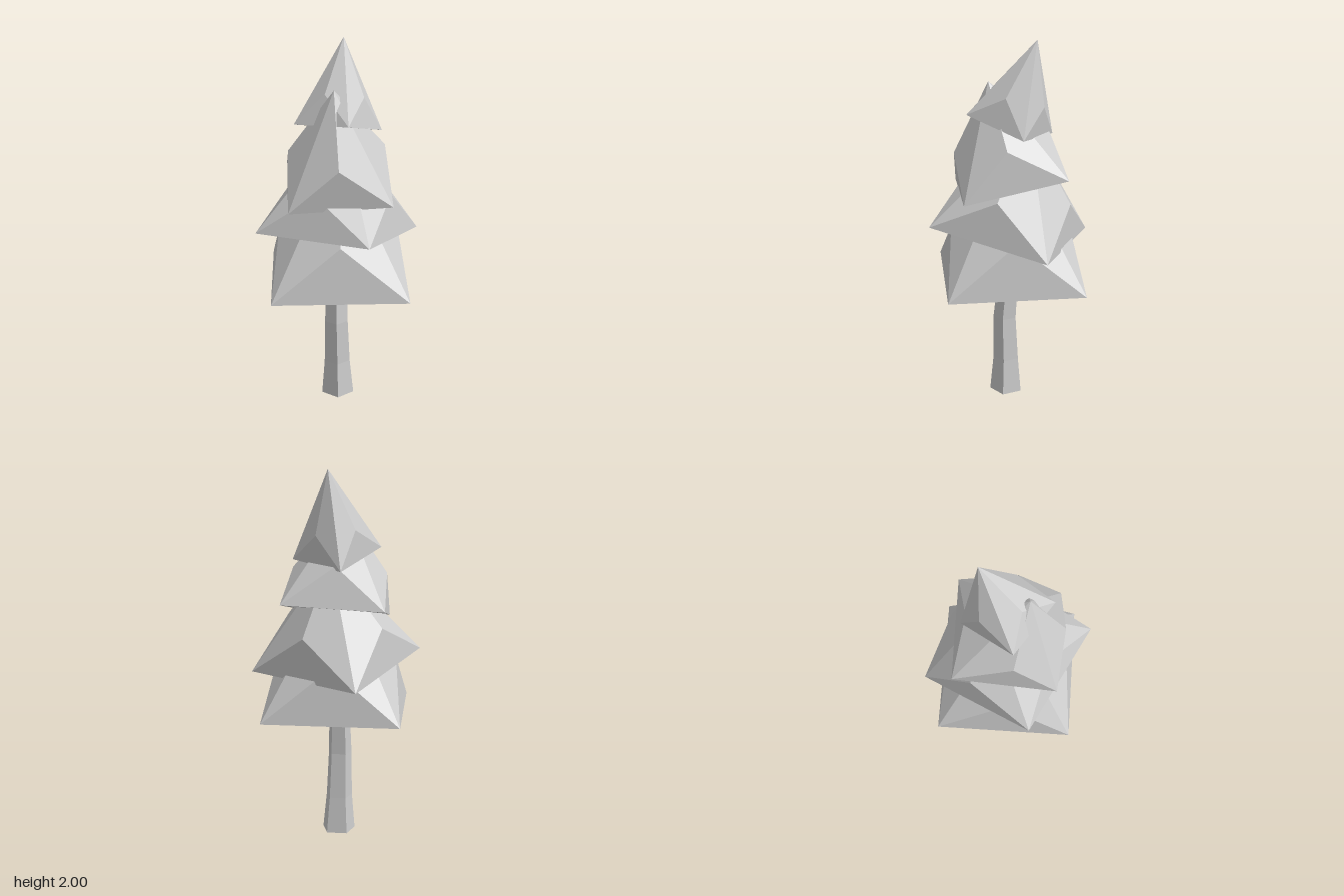
import * as THREE from 'three';
import { ConvexGeometry } from 'three/addons/geometries/ConvexGeometry.js';

const material = new THREE.MeshStandardMaterial({ color: 0xcccccc, flatShading: true });

// One tilted tier of foliage: square base, apex, and a bulge in the middle of each side.
// y: base height, h: rise to the apex, r: corner radius, turn: first corner in degrees,
// tilt: slope of the base along z, bulge: [fraction of height, fraction of radius]
function tierGeometry({ y, h, r, turn, tilt, bulge }) {
  const point = (t, radius, degrees) => {
    const a = THREE.MathUtils.degToRad(degrees);
    const x = radius * Math.cos(a), z = radius * Math.sin(a);
    return new THREE.Vector3(x, y + h * t + tilt * z, z - tilt * h * t);
  };
  const points = [point(1, 0, 0)];
  for (let i = 0; i < 4; i++) {
    points.push(point(0, r, turn + i * 90));
    points.push(point(bulge[0], r * bulge[1], turn + 45 + i * 90));
  }
  return new ConvexGeometry(points);
}

// Crooked five-sided trunk; each ring is [y, radius, centre x, centre z]
function trunkGeometry() {
  const rings = [
    [0, 0.093, 0, 0.02],
    [0.2, 0.074, -0.003, 0.02],
    [0.45, 0.066, -0.006, 0.027],
    [0.78, 0.056, -0.01, 0],
  ];
  const geometry = new THREE.CylinderGeometry(1, 1, 3, 5, 3, false, THREE.MathUtils.degToRad(13));
  const p = geometry.attributes.position;
  for (let i = 0; i < p.count; i++) {
    const [y, r, cx, cz] = rings[Math.round(p.getY(i) + 1.5)];
    p.setXYZ(i, cx + p.getX(i) * r, y, cz + p.getZ(i) * r);
  }
  geometry.computeVertexNormals();
  return geometry;
}

export function createModel() {
  const tree = new THREE.Group();
  tree.name = 'pineTree';
  const add = (name, geometry) => {
    const mesh = new THREE.Mesh(geometry, material);
    mesh.name = name;
    tree.add(mesh);
  };

  add('trunk', trunkGeometry());

  // Foliage from bottom to top, leaning alternately back and forward
  const tiers = [
    { name: 'bottomFoliage', y: 0.707, h: 0.72, r: 0.512, turn: 31.5, tilt: 0, bulge: [0.41, 0.62] },
    { name: 'lowerFoliage', y: 0.978, h: 0.56, r: 0.463, turn: 58.8, tilt: 0.183, bulge: [0.4, 0.64] },
    { name: 'upperFoliage', y: 1.248, h: 0.532, r: 0.381, turn: 30.8, tilt: -0.213, bulge: [0.4, 0.66] },
    { name: 'topFoliage', y: 1.555, h: 0.445, r: 0.235, turn: 66, tilt: 0.315, bulge: [0.34, 0.62] },
  ];
  for (const tier of tiers) add(tier.name, tierGeometry(tier));

  return tree;
}
